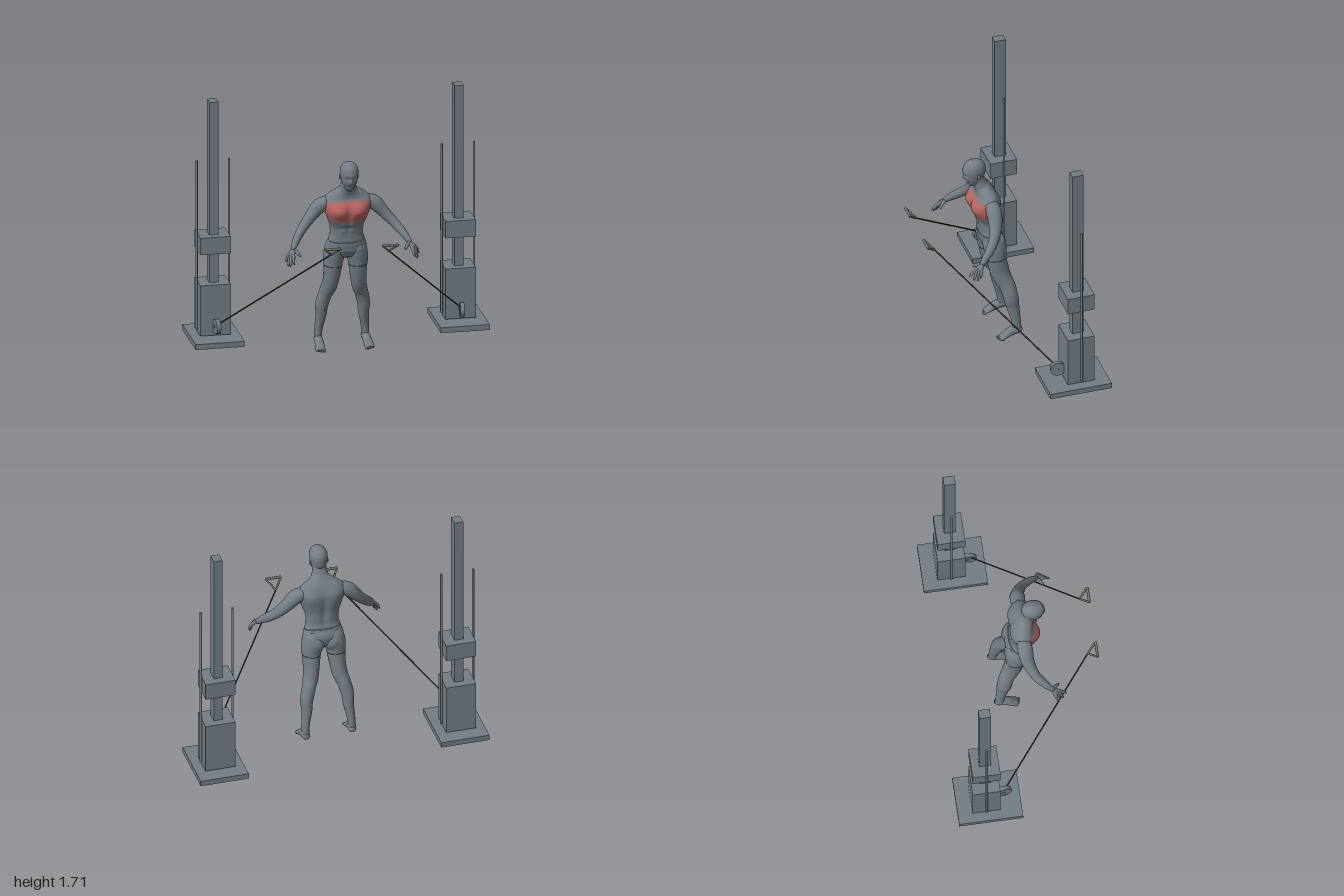
import * as THREE from 'three';

function colour(name, hex) {
  const m = new THREE.MeshStandardMaterial({ color: hex });
  m.name = name;
  return m;
}
const grey = colour('slate grey', 0x737d84);
const red = colour('muscle red', 0xb96462);
const dullRed = colour('faded muscle red', 0x966c6d);
const dark = colour('cable dark grey', 0x363c40);
const gripGrey = colour('grip grey', 0x6c776f);

const V = (a) => new THREE.Vector3(...a);

function add(parent, name, geometry, material = grey) {
  const m = new THREE.Mesh(geometry, material);
  m.name = name;
  parent.add(m);
  return m;
}

function box(parent, name, size, pos) {
  add(parent, name, new THREE.BoxGeometry(...size)).position.set(...pos);
}

function ball(parent, name, pos, radii) {
  const m = add(parent, name, new THREE.SphereGeometry(1, 20, 14));
  m.position.set(...pos);
  m.scale.set(...radii);
}

// Straight round bar between two points
function rod(parent, name, from, to, r, sides = 12, material = grey) {
  const a = V(from), b = V(to), d = b.clone().sub(a);
  const m = add(parent, name, new THREE.CylinderGeometry(r, r, d.length(), sides), material);
  m.position.copy(a).add(b).multiplyScalar(0.5);
  m.quaternion.setFromUnitVectors(new THREE.Vector3(0, 1, 0), d.normalize());
}

// Smooth skin through oval sections, each [x, y, z, half width, half depth].
// paint returns the material slot (0 to 2) of a face from its middle point.
function loft(rows, { n = 24, per = 5, power = 1, shape, paint } = {}) {
  const path = new THREE.CatmullRomCurve3(rows.map((r) => V(r.slice(0, 3))));
  const size = new THREE.CatmullRomCurve3(rows.map((r) => new THREE.Vector3(r[3], r[4], 0)));
  const steps = (rows.length - 1) * per, pos = [], slots = [[], [], []];
  const curve = (v) => Math.sign(v) * Math.abs(v) ** power;
  for (let i = 0; i <= steps; i++) {
    const s = i / steps, c = path.getPoint(s), t = path.getTangent(s), q = size.getPoint(s);
    const u = new THREE.Vector3(1, 0, 0).addScaledVector(t, -t.x).normalize();
    const v = t.clone().cross(u);
    for (let j = 0; j < n; j++) {
      const th = (j / n) * Math.PI * 2;
      const p = c.clone()
        .addScaledVector(u, Math.max(q.x, 0.001) * curve(Math.cos(th)))
        .addScaledVector(v, Math.max(q.y, 0.001) * curve(Math.sin(th)));
      if (shape) shape(p, c);
      pos.push(p.x, p.y, p.z);
    }
  }
  const first = pos.length / 3, at = (i) => V(pos.slice(i * 3, i * 3 + 3));
  pos.push(...rows[0].slice(0, 3), ...rows[rows.length - 1].slice(0, 3));
  const tri = (a, b, c) => {
    const slot = paint ? paint(at(a).add(at(b)).add(at(c)).divideScalar(3)) : 0;
    slots[slot].push(a, b, c);
  };
  for (let j = 0; j < n; j++) {
    const k = (j + 1) % n;
    tri(first, k, j);
    tri(first + 1, steps * n + j, steps * n + k);
    for (let i = 0; i < steps; i++) {
      const o = i * n;
      tri(o + j, o + k, o + n + k);
      tri(o + j, o + n + k, o + n + j);
    }
  }
  const g = new THREE.BufferGeometry();
  g.setAttribute('position', new THREE.Float32BufferAttribute(pos, 3));
  g.setIndex(slots.flat());
  let start = 0;
  slots.forEach((list, slot) => {
    if (list.length) g.addGroup(start, list.length, slot);
    start += list.length;
  });
  g.computeVertexNormals();
  return g;
}

const bell = (v, centre, width) => Math.exp(-(((v - centre) / width) ** 2));

// Chest, spine and belly modelling
function torsoShape(p, c) {
  const x = Math.abs(p.x);
  if (p.z > c.z) {
    p.z += 0.03 * bell(x, 0.075, 0.065) * bell(p.y, 1.025, 0.055);
    p.z -= 0.007 * bell(x, 0, 0.014) * bell(p.y, 0.97, 0.12);
    p.z += 0.005 * bell(x, 0.03, 0.02) * (bell(p.y, 0.925, 0.015) + bell(p.y, 0.88, 0.015));
  } else {
    p.z += 0.014 * bell(x, 0, 0.022) * bell(p.y, 0.95, 0.12);
    p.z -= 0.01 * bell(x, 0.085, 0.04) * bell(p.y, 1.06, 0.06);
  }
}

// Red chest muscles with a faded rim
function chestPaint(p) {
  const x = Math.abs(p.x);
  const margin = Math.min(
    p.z - 0.062, 0.168 - x, 1.1 - 0.4 * x * x - p.y,
    p.y - 0.938 - 2.6 * Math.max(0, x - 0.09) ** 1.5,
  );
  return margin < 0 ? 0 : margin < 0.014 ? 2 : 1;
}

// Nose, brow, eye sockets and lips
function faceShape(p, c) {
  if (p.z < c.z) return;
  const x = Math.abs(p.x);
  p.z += 0.013 * bell(x, 0, 0.01) * bell(p.y, 1.248, 0.013);
  p.z += 0.005 * bell(x, 0, 0.009) * bell(p.y, 1.268, 0.018);
  p.z += 0.003 * bell(x, 0.02, 0.022) * bell(p.y, 1.292, 0.012);
  p.z -= 0.007 * bell(x, 0.024, 0.013) * bell(p.y, 1.272, 0.012);
  p.z += 0.003 * bell(x, 0, 0.016) * bell(p.y, 1.22, 0.008);
}

function buildFigure() {
  const body = new THREE.Group();
  body.name = 'figure';

  const torso = [
    [0.72, 0, 0.12, 0.066], [0.80, 0.015, 0.122, 0.067], [0.85, 0.022, 0.112, 0.063],
    [0.90, 0.025, 0.113, 0.065], [0.96, 0.035, 0.132, 0.08], [1.02, 0.04, 0.153, 0.088],
    [1.07, 0.038, 0.165, 0.084], [1.11, 0.043, 0.152, 0.068], [1.145, 0.056, 0.104, 0.053],
    [1.175, 0.07, 0.06, 0.047], [1.21, 0.083, 0.049, 0.045], [1.25, 0.095, 0.045, 0.043],
  ].map(([y, z, a, b]) => [0, y, z, a, b]);
  add(body, 'torso', loft(torso, { n: 72, per: 8, power: 0.9, shape: torsoShape, paint: chestPaint }),
    [grey, red, dullRed]);

  const head = [
    [1.178, 0.138, 0.01, 0.012], [1.19, 0.13, 0.028, 0.03], [1.21, 0.12, 0.041, 0.05],
    [1.24, 0.115, 0.052, 0.066], [1.27, 0.112, 0.058, 0.074], [1.30, 0.112, 0.061, 0.078],
    [1.33, 0.111, 0.058, 0.073], [1.355, 0.11, 0.044, 0.056], [1.37, 0.11, 0.022, 0.028],
    [1.375, 0.11, 0.003, 0.003],
  ].map(([y, z, a, b]) => [0, y, z, a, b]);
  add(body, 'head', loft(head, { n: 64, per: 7, shape: faceShape }));

  // Shorts with a small step at the waist and hems
  const hips = [
    [0.672, -0.012, 0.05, 0.03], [0.69, -0.01, 0.1, 0.058], [0.715, -0.005, 0.128, 0.07],
    [0.75, 0.001, 0.14, 0.079], [0.78, 0.01, 0.133, 0.074], [0.806, 0.015, 0.124, 0.07],
  ].map(([y, z, a, b]) => [0, y, z, a, b]);
  add(body, 'shorts', loft(hips, { n: 40, power: 0.95 }));

  const leg = [
    [0.08, 0.70, -0.01, 0.06, 0.068], [0.084, 0.63, -0.013, 0.062, 0.067],
    [0.092, 0.515, -0.035, 0.054, 0.066], [0.103, 0.45, -0.056, 0.051, 0.06],
    [0.12, 0.40, -0.08, 0.046, 0.054], [0.135, 0.345, -0.093, 0.045, 0.051],
    [0.143, 0.30, -0.101, 0.042, 0.05], [0.144, 0.24, -0.111, 0.036, 0.044],
    [0.155, 0.16, -0.125, 0.029, 0.034], [0.16, 0.10, -0.132, 0.026, 0.031],
    [0.162, 0.05, -0.134, 0.027, 0.03],
  ];
  const shortsLeg = [
    [0.072, 0.785, 0.007, 0.04, 0.06], [0.073, 0.745, -0.001, 0.067, 0.077],
    [0.079, 0.69, -0.009, 0.071, 0.077], [0.084, 0.645, -0.012, 0.067, 0.072],
    [0.086, 0.618, -0.014, 0.065, 0.07],
  ];
  const foot = [
    [0.16, 0.062, -0.17, 0.012, 0.014], [0.16, 0.06, -0.153, 0.026, 0.026],
    [0.162, 0.062, -0.12, 0.03, 0.032], [0.163, 0.052, -0.085, 0.03, 0.031],
    [0.165, 0.034, -0.05, 0.033, 0.021], [0.167, 0.02, -0.022, 0.034, 0.012],
    [0.167, 0.016, -0.012, 0.028, 0.008],
  ];
  const arm = [
    [0.095, 1.085, 0.034, 0.025, 0.03], [0.14, 1.075, 0.033, 0.043, 0.047],
    [0.19, 1.048, 0.034, 0.05, 0.051], [0.235, 1.0, 0.04, 0.042, 0.046],
    [0.275, 0.955, 0.056, 0.036, 0.04], [0.315, 0.912, 0.08, 0.031, 0.034],
    [0.35, 0.873, 0.115, 0.028, 0.032], [0.38, 0.834, 0.157, 0.022, 0.025],
    [0.40, 0.803, 0.188, 0.015, 0.019],
  ];
  // Each finger: knuckle, then tip
  const fingers = {
    IndexFinger: [[0.405, 0.775, 0.235], [0.41, 0.735, 0.278]],
    MiddleFinger: [[0.418, 0.768, 0.228], [0.431, 0.713, 0.256]],
    RingFinger: [[0.427, 0.768, 0.218], [0.44, 0.713, 0.232]],
    LittleFinger: [[0.433, 0.775, 0.205], [0.452, 0.735, 0.212]],
    Thumb: [[0.372, 0.793, 0.215], [0.354, 0.774, 0.235]],
  };

  for (const [side, s] of [['left', 1], ['right', -1]]) {
    const flip = (rows) => rows.map(([x, ...rest]) => [x * s, ...rest]);
    add(body, side + 'Leg', loft(flip(leg)));
    add(body, side + 'ShortsLeg', loft(flip(shortsLeg), { n: 32 }));
    add(body, side + 'Foot', loft(flip(foot)));
    add(body, side + 'Arm', loft(flip(arm)));
    ball(body, side + 'Buttock', [0.06 * s, 0.708, -0.038], [0.062, 0.07, 0.051]);
    ball(body, side + 'Ear', [0.06 * s, 1.265, 0.098], [0.006, 0.018, 0.012]);
    for (let i = 0; i < 5; i++) {
      const r = 0.009 - i * 0.0009;
      ball(body, side + 'Toe', [(0.142 + i * 0.0125) * s, 0.013, -0.008 - i * i * 0.0012], [r * 0.85, r, 0.014]);
    }
    for (const [name, [k, tip]] of Object.entries(fingers)) {
      const mid = k.map((v, i) => v + (tip[i] - v) * 0.6);
      const rows = [
        [0.397, 0.81, 0.182, 0.013, 0.013], [...k, 0.012, 0.012],
        [...mid, 0.009, 0.009], [...tip, 0.005, 0.005],
      ];
      add(body, side + name, loft(flip(rows), { n: 10, per: 4 }));
    }
  }
  return body;
}

// Cable tower with weight block, guide rods, pulley, cable and grip
function buildTower(side, s) {
  const g = new THREE.Group();
  g.name = side + 'CableTower';
  const x = 0.833 * s, z = -0.332;
  box(g, 'base', [0.333, 0.038, 0.43], [x, 0.071, -0.31]);
  box(g, 'post', [0.061, 1.625, 0.078], [x, 0.9025, z]);
  box(g, 'lowerHousing', [0.206, 0.353, 0.187], [x, 0.2735, z]);
  box(g, 'weightBlock', [0.206, 0.118, 0.187], [x, 0.725, z]);
  for (const d of [-0.11, 0.11]) rod(g, 'guideRod', [x + d, 0.115, z], [x + d, 1.3, z], 0.008);

  // Pulley wheel on a short bracket
  box(g, 'pulleyBracket', [0.034, 0.016, 0.045], [x, 0.17, -0.22]);
  rod(g, 'pulleyWheel', [x - 0.014, 0.17, -0.2 - 0.0017 * s], [x + 0.014, 0.17, -0.2 + 0.0017 * s], 0.05, 32);

  const apex = [0.195 * s, 0.848, 0.452];
  rod(g, 'cable', [0.825 * s, 0.19, -0.19], apex, 0.005, 8, dark);
  const ends = [0.142, 0.248].map((e) => [e * s, 0.905, 0.512]);
  rod(g, 'gripBar', ends[0], ends[1], 0.009, 12, gripGrey);
  for (const e of ends) rod(g, 'gripStrap', apex, e, 0.007, 8, gripGrey);
  return g;
}

export function createModel() {
  const model = new THREE.Group();
  model.name = 'cableExerciseFigure';
  model.add(buildFigure(), buildTower('left', 1), buildTower('right', -1));
  return model;
}
